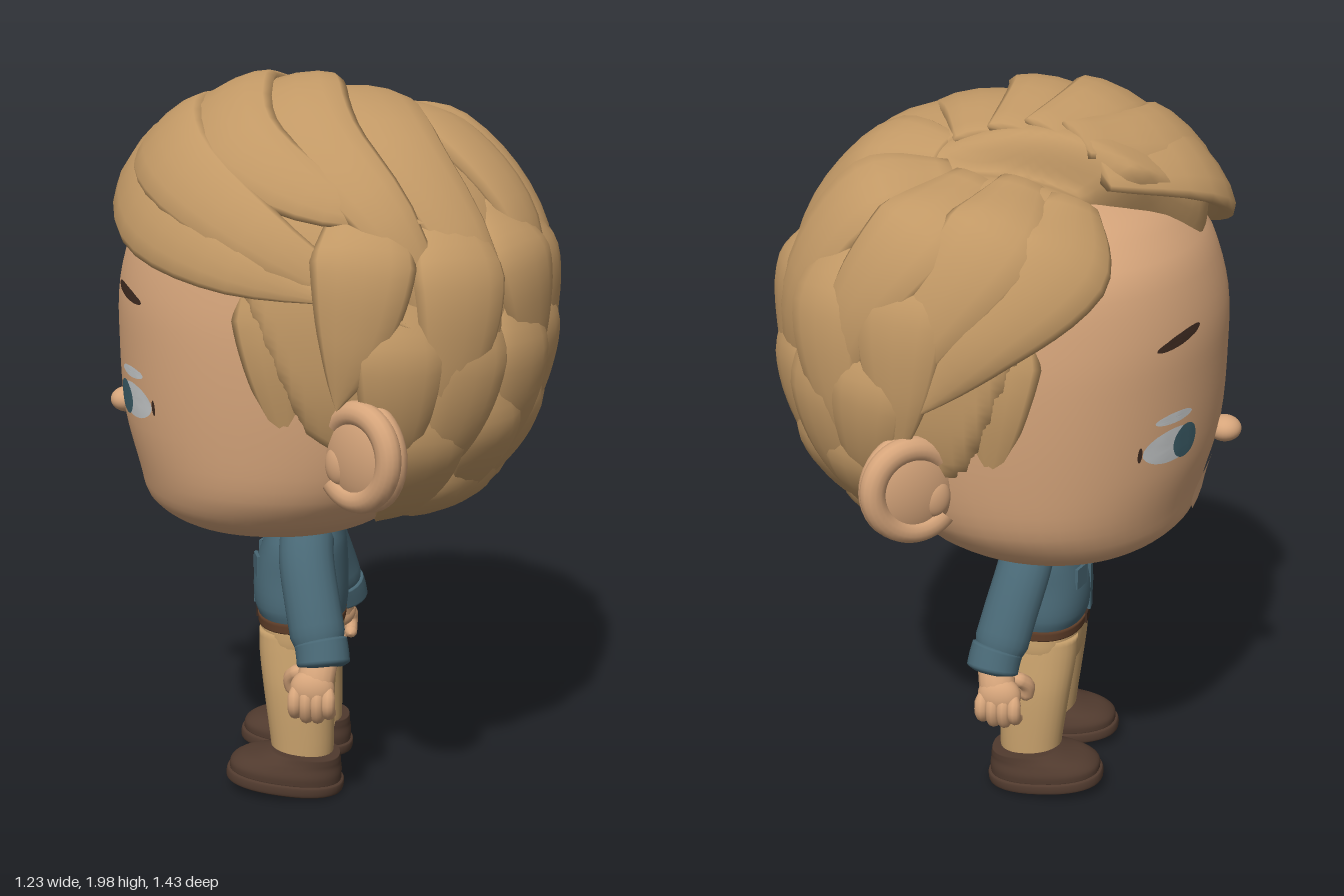
import * as THREE from 'three';
import { mergeVertices } from 'three/addons/utils/BufferGeometryUtils.js';

const V = (x, y, z) => new THREE.Vector3(x, y, z);
const sm = THREE.MathUtils.smoothstep;
const mat = (name, color) => Object.assign(new THREE.MeshStandardMaterial({ color }), { name });

// Grid of points (rings of n corners, capped at both ends) to a smooth solid
function skin(rings) {
  const n = rings[0].length, pos = [], idx = [];
  rings.forEach(r => r.forEach(p => pos.push(p.x, p.y, p.z)));
  for (let i = 0; i < rings.length - 1; i++) for (let j = 0; j < n; j++) {
    const a = i * n + j, b = i * n + (j + 1) % n;
    idx.push(a, a + n, b, b, a + n, b + n);
  }
  const last = rings.length - 1;
  [0, last].forEach(i => {
    const c = rings[i].reduce((s, p) => s.add(p), V(0, 0, 0)).divideScalar(n), k = pos.length / 3;
    pos.push(c.x, c.y, c.z);
    for (let j = 0; j < n; j++) {
      const a = i * n + j, b = i * n + (j + 1) % n;
      i ? idx.push(a, k, b) : idx.push(k, a, b);
    }
  });
  const g = new THREE.BufferGeometry();
  g.setAttribute('position', new THREE.Float32BufferAttribute(pos, 3));
  g.setIndex(idx);
  g.computeVertexNormals();
  return g;
}

// Upright loft; each row is [y, centre x, radius x, radius z, centre z]
function loft(rows, e = 2, n = 40, steps = 4) {
  const c1 = new THREE.CatmullRomCurve3(rows.map(r => V(r[1], r[0], r[4] || 0)), false, 'centripetal');
  const c2 = new THREE.CatmullRomCurve3(rows.map(r => V(r[2], r[0], r[3])), false, 'centripetal');
  const rings = [], N = (rows.length - 1) * steps;
  const pw = v => Math.sign(v) * Math.abs(v) ** (2 / e);
  for (let i = 0; i <= N; i++) {
    const c = c1.getPoint(i / N), r = c2.getPoint(i / N);
    rings.push(Array.from({ length: n }, (_, j) => {
      const a = j / n * Math.PI * 2;
      return V(c.x + r.x * pw(Math.cos(a)), c.y, c.z + r.z * pw(Math.sin(a)));
    }));
  }
  return skin(rings);
}

// Flattened strand along points; normalAt gives the thin direction
function sweep(pts, w, t, profile, normalAt, n = 10, N = 16) {
  const curve = new THREE.CatmullRomCurve3(pts, false, 'centripetal'), rings = [];
  for (let i = 0; i <= N; i++) {
    const u = i / N, p = curve.getPoint(u), d = curve.getTangent(u);
    const side = V(0, 0, 0).crossVectors(d, normalAt(p)).normalize();
    const up = V(0, 0, 0).crossVectors(side, d), f = Math.max(profile(u), 0.001);
    rings.push(Array.from({ length: n }, (_, j) => {
      const a = j / n * Math.PI * 2;
      return p.clone().addScaledVector(side, w * f * Math.cos(a)).addScaledVector(up, t * f * Math.sin(a));
    }));
  }
  return skin(rings);
}
const limb = u => Math.min(1, Math.sqrt(Math.max(0, Math.sin(Math.PI * u)) * 1.8));
const tip = u => Math.min(1, 0.5 + 1.6 * u) * (1 - u ** 2.6);

// Hair envelope: rounded ellipsoid with a raised forelock and a parting groove
const C = V(0.03, 1.36, 0);
function onHair(p, lift = 0, styled = true) {
  const d = p.clone().sub(C), e = 2.3;
  const g = Math.abs(d.x / (d.x > 0 ? 0.55 : 0.56)) ** e + Math.abs(d.y / (d.y > 0 ? 0.535 : 0.57)) ** e + Math.abs(d.z / 0.63) ** e;
  d.multiplyScalar(g ** (-1 / e));
  const q = d.clone().add(C), high = sm(q.y, 1.55, 1.72);
  const raised = (0.115 + 0.03 * sm(-q.x, 0.05, 0.25)) * sm(q.z, -0.29, -0.2) * (1 - 0.85 * sm(q.z, 0.05, 0.55)) * (1 - sm(q.x, -0.12, 0.22));
  const groove = 0.05 * Math.exp(-(((q.z + 0.29) / 0.035) ** 2)) * (1 - sm(q.x, 0.1, 0.25));
  const lump = 0.03 * sm(-q.z, 0.33, 0.45) * sm(q.x, -0.25, 0);
  return d.multiplyScalar(1 + lift + (styled ? high * (raised - groove + lump) : 0)).add(C);
}
const outward = p => p.clone().sub(C).normalize();

// Foremost x of the hair at a given height and side
function hairline(y, z) {
  const k = [[0.6, 0.06], [0.9, 0.08], [1.02, 0.12], [1.14, -0.02], [1.5, -0.18], [1.6, -0.26], [3, -0.26]];
  if (y > 1.6 && z > -0.3) return -0.26 - (z + 0.3) * 0.95;
  const i = Math.max(1, k.findIndex(r => r[0] > y)), [a, b] = [k[i - 1], k[i]];
  return a[1] + (b[1] - a[1]) * (y - a[0]) / (b[0] - a[0]);
}

export function createModel() {
  const model = new THREE.Group();
  const M = {
    skin: mat('skin', 0xd6a57b), lip: mat('light skin', 0xdfae84), hair: mat('hair', 0xc19865),
    shirt: mat('shirt', 0x486774), pants: mat('trousers', 0xc49e6a), shoe: mat('shoe leather', 0x503a2e),
    belt: mat('belt', 0x5e3d28), white: mat('eye white', 0xc9cccd), iris: mat('iris', 0x3d5f6a), brow: mat('brow', 0x3d2a20),
  };
  const add = (name, geo, m, parent = model) => {
    const o = new THREE.Mesh(geo, m);
    o.name = name;
    parent.add(o);
    return o;
  };
  const ball = (name, m, p, s, parent = model) => {
    const o = add(name, new THREE.SphereGeometry(1, 28, 20), m, parent);
    o.position.set(...p);
    o.scale.set(...s);
    return o;
  };

  // Head
  const head = add('head', loft([
    [0.785, -0.06, 0.12, 0.16], [0.8, -0.105, 0.205, 0.29], [0.83, -0.13, 0.31, 0.41], [0.88, -0.12, 0.38, 0.49],
    [0.96, -0.09, 0.43, 0.545], [1.1, -0.062, 0.493, 0.572], [1.3, -0.052, 0.513, 0.585], [1.45, -0.045, 0.515, 0.58],
    [1.6, -0.04, 0.475, 0.55], [1.7, -0.05, 0.38, 0.44], [1.755, -0.06, 0.25, 0.3], [1.78, -0.06, 0.1, 0.15]], 2.12, 64), M.skin);
  head.updateMatrixWorld();
  ball('nose', M.skin, [-0.57, 1.085, 0], [0.045, 0.035, 0.045]);

  // Thin oval painted onto the face; slope tilts it along z
  const ray = new THREE.Raycaster();
  function patch(name, m, y0, z0, hy, hz, off, slope = 0) {
    const g = new THREE.RingGeometry(0.001, 1, 28, 4), P = g.attributes.position;
    for (let i = 0; i < P.count; i++) {
      const u = P.getX(i);
      ray.set(V(-2, y0 + P.getY(i) * hy + slope * u * hz * Math.sign(z0), z0 + u * hz), V(1, 0, 0));
      const h = ray.intersectObject(head)[0], p = h.point.addScaledVector(h.face.normal, off);
      P.setXYZ(i, p.x, p.y, p.z);
    }
    g.computeVertexNormals();
    add(name, g, m);
  }
  patch('mouthArea', M.lip, 0.945, 0, 0.075, 0.15, 0.006);
  for (const s of [1, -1]) {
    patch('eyeWhite', M.white, 1.17, s * 0.345, 0.045, 0.085, 0.004);
    patch('iris', M.iris, 1.17, s * 0.305, 0.045, 0.043, 0.007);
    patch('eyelid', M.white, 1.243, s * 0.345, 0.014, 0.06, 0.004);
    patch('outerLash', M.brow, 1.17, s * 0.436, 0.02, 0.005, 0.004);
    patch('eyebrow', M.brow, 1.445, s * 0.33, 0.014, 0.075, 0.008, -0.2);
  }

  // Hair base, sinking into the head wherever the face is bare
  let cap = new THREE.SphereGeometry(1, 120, 90);
  cap.deleteAttribute('uv');
  cap.deleteAttribute('normal');
  cap = mergeVertices(cap);
  const cp = cap.attributes.position;
  for (let i = 0; i < cp.count; i++) {
    const raw = V(cp.getX(i), cp.getY(i), cp.getZ(i)).add(C), q = onHair(raw, 0, false);
    const p = onHair(raw, -0.27, false).lerp(onHair(raw, -0.03), sm(q.x - hairline(q.y, q.z), -0.08, 0.03));
    cp.setXYZ(i, p.x, p.y, p.z);
  }
  cap.computeVertexNormals();
  add('hairBase', cap, M.hair);

  // Hair locks: root tucked under, tip standing slightly proud
  const hair = new THREE.Group();
  hair.name = 'hairLocks';
  model.add(hair);
  const lock = (pts, w, t, lift = 0) => add('hairLock', sweep(
    pts.map((p, i) => onHair(V(...p), lift + (i === 0 ? -0.05 : i === pts.length - 1 ? 0.02 : 0))),
    w, t, tip, outward, 12, 18), M.hair, hair);
  // Tiers round the back: [top elevation, bottom elevation, spread, count, width, lift]
  [[-0.5, -1.25, 0.85, 7, 0.1, -0.03], [-0.1, -1.0, 1.1, 8, 0.115, -0.025], [0.25, -0.68, 1.25, 9, 0.12, -0.015],
    [0.6, -0.3, 1.38, 8, 0.135, -0.005]].forEach(([e0, e1, spread, n, w, lift], k) => {
    for (let i = 0; i < n; i++) {
      const a = spread * (2 * i / (n - 1) - 1), drop = 0.1 * Math.sin(i * 2.4 + k);
      lock([0, 0.33, 0.67, 1].map(u => {
        const e = e0 + (e1 - e0 + drop) * u, b = a + 0.16 * u * u * Math.sin(i * 1.7 + k);
        return [C.x + Math.cos(e) * Math.cos(b), C.y + Math.sin(e), Math.cos(e) * Math.sin(b)];
      }), w, 0.042, lift);
    }
  });
  // Forelock swept from the parting to the left side
  [[[-0.24, 1.8, -0.23], [-0.48, 1.8, 0], [-0.45, 1.67, 0.32], [-0.2, 1.56, 0.56], [0.1, 1.48, 0.64]],
    [[-0.2, 1.9, -0.22], [-0.42, 1.88, 0.05], [-0.38, 1.8, 0.36], [-0.1, 1.62, 0.58], [0.25, 1.42, 0.6]],
    [[-0.13, 1.95, -0.22], [-0.25, 1.95, 0.08], [-0.2, 1.85, 0.4], [0.03, 1.72, 0.53], [0.28, 1.66, 0.52]],
    [[-0.04, 1.95, -0.22], [-0.08, 1.95, 0.1], [0, 1.85, 0.38], [0.2, 1.62, 0.52], [0.38, 1.2, 0.5]],
    [[0.05, 1.93, -0.21], [0.1, 1.93, 0.05], [0.2, 1.8, 0.32], [0.36, 1.5, 0.42], [0.4, 1.15, 0.44]],
  ].forEach(p => lock(p, 0.135, 0.04));
  // Locks swept from the parting to the right and back
  [[[-0.22, 1.78, -0.33], [-0.2, 1.65, -0.48], [-0.05, 1.5, -0.62], [0.12, 1.3, -0.64]],
    [[-0.1, 1.83, -0.33], [-0.05, 1.7, -0.5], [0.1, 1.5, -0.6], [0.27, 1.2, -0.58]],
    [[0.03, 1.83, -0.33], [0.12, 1.7, -0.48], [0.26, 1.5, -0.52], [0.36, 1.15, -0.48]],
    [[0.1, 1.84, -0.31], [0.27, 1.75, -0.35], [0.42, 1.5, -0.35], [0.48, 1.12, -0.3]],
    [[0.14, 1.88, -0.22], [0.33, 1.8, -0.1], [0.5, 1.55, -0.05], [0.56, 1.18, 0]],
    [[0.1, 1.9, -0.18], [0.28, 1.82, 0.1], [0.45, 1.6, 0.2], [0.52, 1.25, 0.22]],
  ].forEach(p => lock(p, 0.135, 0.042));

  // Neck, shirt, collar, belt and hips
  add('neck', loft([[0.72, -0.07, 0.075, 0.08], [0.83, -0.07, 0.075, 0.08]], 2, 24), M.skin);
  add('shirtBody', loft([[0.49, -0.08, 0.12, 0.16], [0.53, -0.085, 0.13, 0.168], [0.62, -0.085, 0.13, 0.155],
    [0.7, -0.075, 0.115, 0.145], [0.745, -0.07, 0.1, 0.115], [0.775, -0.065, 0.088, 0.09]], 2.3), M.shirt);
  add('collar', loft([[0.745, -0.07, 0.1, 0.11], [0.765, -0.068, 0.1, 0.105], [0.785, -0.066, 0.088, 0.09]]), M.shirt);
  add('belt', loft([[0.47, -0.083, 0.122, 0.165], [0.498, -0.083, 0.124, 0.166]], 2.3), M.belt);
  add('hips', loft([[0.35, -0.083, 0.07, 0.1], [0.375, -0.083, 0.108, 0.15], [0.43, -0.083, 0.117, 0.163],
    [0.475, -0.083, 0.118, 0.16]], 2.3), M.pants);
  const placket = add('placket', new THREE.BoxGeometry(0.009, 0.14, 0.035), M.shirt);
  placket.position.set(-0.214, 0.58, 0);
  const buckle = add('buckle', new THREE.BoxGeometry(0.009, 0.03, 0.05), M.brow);
  buckle.position.set(-0.206, 0.484, 0);

  // Mirrored parts
  const across = () => V(1, 0, 0);
  for (const s of [1, -1]) {
    const half = new THREE.Group();
    half.name = s > 0 ? 'leftHalf' : 'rightHalf';
    half.scale.z = s;
    model.add(half);
    // Ear: rounded shell with a rim open towards the cheek
    const ear = new THREE.Group();
    ear.name = 'ear';
    ear.position.set(0.125, 1.105, 0.61);
    ear.rotation.y = -0.72;
    half.add(ear);
    ball('earShell', M.skin, [0, 0, -0.028], [0.132, 0.142, 0.06], ear);
    const rim = add('earRim', new THREE.TorusGeometry(0.104, 0.031, 14, 36, Math.PI * 1.5), M.skin, ear);
    rim.rotation.z = -Math.PI * 0.75;
    rim.scale.set(1.08, 1, 1);
    ball('innerEar', M.skin, [-0.055, -0.03, 0.01], [0.04, 0.05, 0.024], ear);
    // Sideburn
    add('sideburn', sweep([V(-0.1, 1.56, 0.54), V(-0.08, 1.35, 0.578), V(-0.045, 1.08, 0.562)],
      0.1, 0.026, tip, () => V(0, 0, 1)), M.hair, half);
    // Sleeve and rolled cuff
    add('sleeve', sweep([V(-0.06, 0.76, 0.05), V(-0.055, 0.69, 0.14), V(-0.03, 0.58, 0.21), V(0.005, 0.43, 0.275)],
      0.066, 0.075, u => limb(u * 0.92 + 0.04), across, 20, 24), M.shirt, half);
    add('cuff', sweep([V(-0.005, 0.495, 0.25), V(0.002, 0.465, 0.263), V(0.008, 0.425, 0.28)],
      0.066, 0.072, u => limb(u * 0.8 + 0.1), across, 20), M.shirt, half);
    // Hand
    add('wrist', sweep([V(0, 0.46, 0.265), V(-0.01, 0.41, 0.295), V(-0.02, 0.35, 0.312)], 0.038, 0.05, limb, across, 14), M.skin, half);
    ball('palm', M.skin, [-0.02, 0.375, 0.308], [0.06, 0.055, 0.038], half);
    for (let i = 0; i < 4; i++) {
      const x = -0.065 + i * 0.03, l = i % 3 ? 0.012 : 0;
      add('finger', sweep([V(x, 0.39, 0.315), V(x, 0.34, 0.335), V(x, 0.31 - l, 0.315), V(x, 0.305 - l, 0.285)],
        0.019, 0.019, limb, across, 10), M.skin, half);
    }
    add('thumb', sweep([V(-0.05, 0.42, 0.28), V(-0.085, 0.38, 0.25), V(-0.075, 0.325, 0.235)], 0.021, 0.021, limb, across), M.skin, half);
    // Chest pocket
    const pocket = add('pocket', new THREE.BoxGeometry(0.009, 0.06, 0.055), M.shirt, half);
    pocket.position.set(-0.2, 0.64, 0.075);
    pocket.rotation.y = 0.3;
    // Trouser leg
    add('trouserLeg', loft([[0.09, -0.07, 0.085, 0.076, 0.118], [0.13, -0.07, 0.088, 0.078, 0.116],
      [0.3, -0.08, 0.1, 0.08, 0.106], [0.4, -0.083, 0.11, 0.08, 0.088], [0.46, -0.083, 0.112, 0.075, 0.08]], 2.2, 28), M.pants, half);
    // Shoe with the toe slightly raised
    const shoe = new THREE.Group();
    shoe.name = 'shoe';
    shoe.position.set(0.04, 0.005, 0.137);
    shoe.rotation.z = -0.1;
    half.add(shoe);
    add('sole', loft([[0, -0.16, 0.158, 0.098], [0.006, -0.16, 0.165, 0.106], [0.03, -0.16, 0.165, 0.106], [0.034, -0.16, 0.158, 0.1]], 2.3), M.shoe, shoe);
    add('shoeUpper', loft([[0.03, -0.16, 0.158, 0.1], [0.055, -0.16, 0.157, 0.1], [0.078, -0.148, 0.14, 0.09],
      [0.092, -0.125, 0.115, 0.084], [0.108, -0.108, 0.094, 0.08]], 2.3), M.shoe, shoe);
  }
  return model;
}
